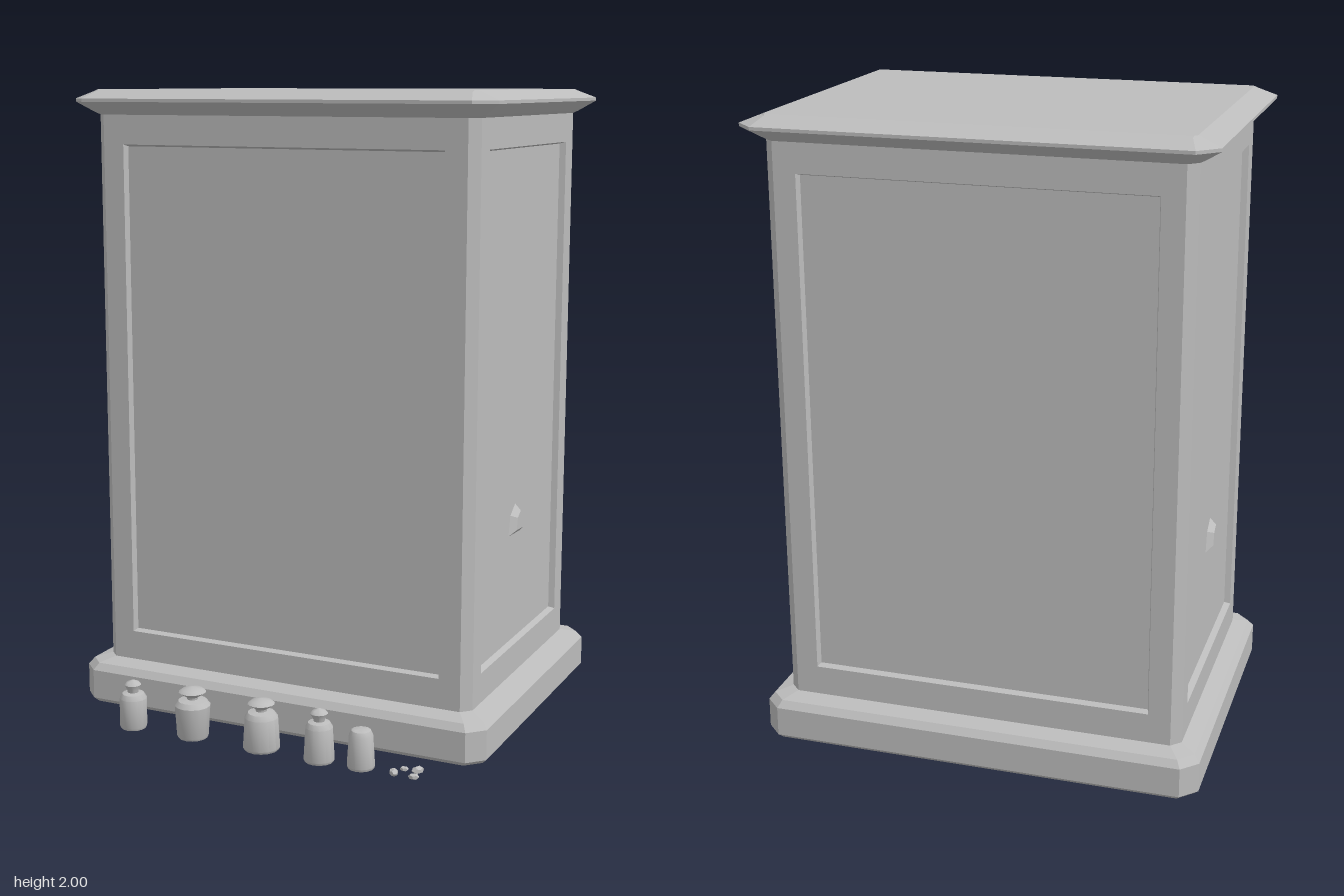
import * as THREE from 'three';
import { toCreasedNormals } from 'three/addons/utils/BufferGeometryUtils.js';

const stone = new THREE.MeshStandardMaterial({ color: 0xbcbcbc });
stone.name = 'grey stone';

const CZ = -0.115; // centre of the pedestal in z
const HX = 0.64, HZ = 0.465, CH = 0.03; // shaft half sizes and corner chamfer

// Flat-shaded skin through rings of equal length, with optional end caps
function loft(rings, capStart, capEnd) {
  const p = [];
  const tri = (...v) => v.forEach((q) => p.push(q[0], q[1], q[2]));
  const n = rings[0].length;
  for (let r = 0; r < rings.length - 1; r++) {
    const a = rings[r], b = rings[r + 1];
    for (let i = 0; i < n; i++) {
      const j = (i + 1) % n;
      tri(a[i], a[j], b[j]);
      tri(a[i], b[j], b[i]);
    }
  }
  const s = rings[0], e = rings[rings.length - 1];
  for (let i = 1; i < n - 1; i++) {
    if (capStart) tri(s[0], s[i + 1], s[i]);
    if (capEnd) tri(e[0], e[i], e[i + 1]);
  }
  const g = new THREE.BufferGeometry();
  g.setAttribute('position', new THREE.Float32BufferAttribute(p, 3));
  g.computeVertexNormals();
  return g;
}

// Rectangle with cut corners at height y
const octagon = (y, hx, hz, c) => [
  [hx, y, hz - c], [hx, y, -hz + c], [hx - c, y, -hz], [-hx + c, y, -hz],
  [-hx, y, -hz + c], [-hx, y, hz - c], [-hx + c, y, hz], [hx - c, y, hz],
];
const rect = (hx, hy, z) => [[-hx, -hy, z], [hx, -hy, z], [hx, hy, z], [-hx, hy, z]];

function add(parent, name, geometry, x = 0, y = 0, z = 0) {
  const m = new THREE.Mesh(geometry, stone);
  m.name = name;
  m.position.set(x, y, z);
  parent.add(m);
  return m;
}

export function createModel() {
  const model = new THREE.Group();
  model.name = 'pedestalWithJars';

  // Base slab with softened top edge
  add(model, 'plinth', loft([
    octagon(0, 0.69, 0.52, 0.045), octagon(0.015, 0.705, 0.535, 0.05),
    octagon(0.11, 0.705, 0.535, 0.05), octagon(0.132, 0.688, 0.518, 0.045),
    octagon(0.145, 0.64, 0.465, 0.03),
  ], true, true), 0, 0, CZ);

  // Cornice flaring out and bevelled back to the flat top
  add(model, 'cornice', loft([
    octagon(1.922, 0.64, 0.465, 0.03), octagon(1.93, 0.655, 0.48, 0.035),
    octagon(1.962, 0.705, 0.535, 0.06), octagon(1.972, 0.705, 0.535, 0.06),
    octagon(1.996, 0.645, 0.475, 0.02), octagon(2.0, 0.635, 0.465, 0.008),
  ], true, true), 0, 0, CZ);

  // Four shaft faces, each a frame around a sunken panel
  const shaft = new THREE.Group();
  shaft.name = 'shaft';
  shaft.position.set(0, 1.035, CZ);
  model.add(shaft);
  ['front', 'left', 'back', 'right'].forEach((side, i) => {
    const along = i % 2 ? HZ : HX, out = i % 2 ? HX : HZ;
    const face = loft([
      rect(along - CH, 0.9, 0), rect(along - 0.1, 0.795, 0),
      rect(along - 0.106, 0.789, -0.02),
    ], false, true);
    face.translate(0, 0, out).rotateY(i * Math.PI / 2);
    add(shaft, side + 'PanelFace', face);
  });
  for (const sx of [-1, 1]) for (const sz of [-1, 1]) {
    const c = add(shaft, 'cornerChamfer', new THREE.PlaneGeometry(CH * Math.SQRT2, 1.8),
      sx * (HX - CH / 2), 0, sz * (HZ - CH / 2));
    c.rotation.y = Math.atan2(sx, sz);
  }

  // Small raised chip on each side panel
  const chipRing = (s, z) => [[-0.055, -0.045], [0.05, -0.05], [0.035, 0.02], [0.005, 0.05], [-0.04, 0.02]]
    .map(([x, y]) => [x * s, y * s, z]);
  for (const s of [-1, 1]) {
    const chip = add(model, 'sideChip', loft([chipRing(1, 0), chipRing(0.6, 0.02)], false, true),
      s * 0.62, 0.645, -0.095);
    chip.rotation.y = s * Math.PI / 2;
  }

  // Jars: x, z, foot radius, shoulder radius, foot height, stopper radius
  const jars = [
    [-0.385, 0.61, 0.043, 0.043, 0.025, 0.026],
    [-0.185, 0.585, 0.05, 0.056, 0.018, 0.043],
    [0.055, 0.585, 0.058, 0.052, 0.02, 0.042],
    [0.25, 0.585, 0.048, 0.042, 0.015, 0.027],
    [0.39, 0.59, 0.043, 0.037, 0.02, 0],
  ];
  for (const [x, z, r, s, y, k] of jars) {
    const profile = [[0, y], [r * 0.92, y], [r, y + 0.008], [s, 0.122], [s * 0.8, 0.137]];
    if (k) profile.push([0.017, 0.141], [0.018, 0.148], [k, 0.165], [k * 0.75, 0.173], [0, 0.181]);
    else profile.push([s * 0.6, 0.14], [0, 0.14]);
    const g = new THREE.LatheGeometry(profile.map(([a, b]) => new THREE.Vector2(a, b)), 14);
    add(model, 'jar', toCreasedNormals(g, 0.6), x, 0, z);
  }

  // Crumbs beside the broken jar
  [[0.52, 0.568, 0.014], [0.56, 0.56, 0.021], [0.502, 0.605, 0.019], [0.567, 0.61, 0.017]]
    .forEach(([x, z, r], i) => {
      const c = add(model, 'crumb', new THREE.DodecahedronGeometry(r), x, 0.03, z);
      c.scale.set(1, 0.6, 0.7);
      c.rotation.y = i * 1.1;
    });

  return model;
}
